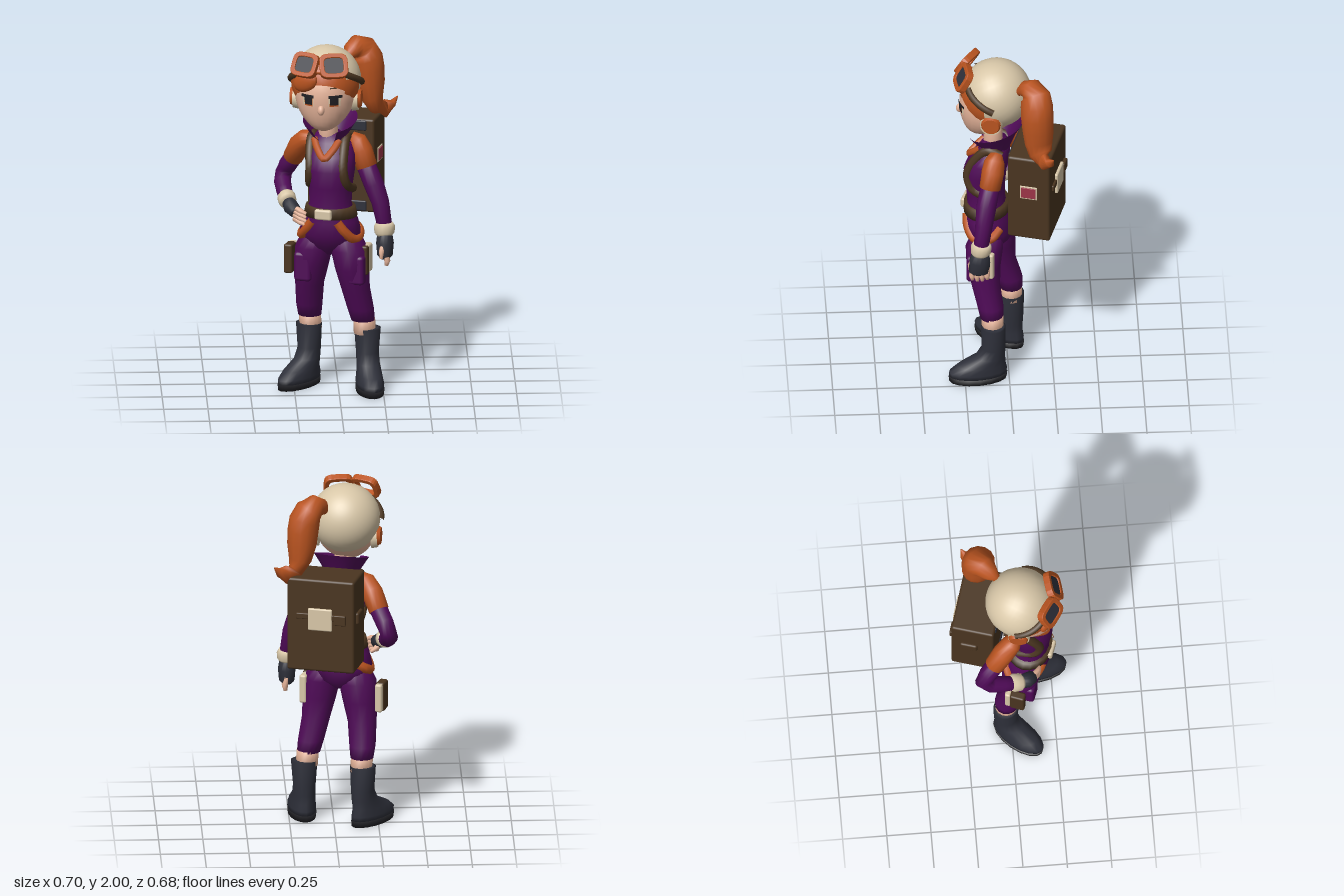
import * as THREE from 'three';
import { RoundedBoxGeometry } from 'three/addons/geometries/RoundedBoxGeometry.js';

const material = (name, color, side = THREE.FrontSide) => {
  const m = new THREE.MeshStandardMaterial({ color, side });
  m.name = name;
  return m;
};
const V = (x, y, z) => new THREE.Vector3(x, y, z);

// Surface through elliptical rings [x, y, z, a, b]; horizontal when a yaw is given, else square to the path
function loft(rings, yaw = null, n = 14) {
  const pos = [], idx = [], last = rings.length - 1;
  const c = rings.map(r => V(r[0], r[1], r[2]));
  rings.forEach((r, i) => {
    let t = V(0, 1, 0), u;
    if (yaw !== null) u = V(Math.cos(yaw), 0, -Math.sin(yaw));
    else {
      t = c[Math.min(i + 1, last)].clone().sub(c[Math.max(i - 1, 0)]).normalize();
      u = V(1, 0, 0).addScaledVector(t, -t.x).normalize();
    }
    const v = u.clone().cross(t);
    for (let j = 0; j < n; j++) {
      const a = j / n * Math.PI * 2;
      pos.push(...c[i].clone().addScaledVector(u, r[3] * Math.cos(a)).addScaledVector(v, (r[4] ?? r[3]) * Math.sin(a)).toArray());
    }
  });
  pos.push(...c[0].toArray(), ...c[last].toArray());
  const s = (last + 1) * n;
  for (let j = 0; j < n; j++) {
    const k = (j + 1) % n;
    for (let i = 0; i < last; i++) {
      const p = i * n, q = p + n;
      idx.push(p + j, q + j, p + k, p + k, q + j, q + k);
    }
    idx.push(s, j, k, s + 1, last * n + k, last * n + j);
  }
  const g = new THREE.BufferGeometry();
  g.setAttribute('position', new THREE.Float32BufferAttribute(pos, 3));
  g.setIndex(idx);
  g.computeVertexNormals();
  return g;
}

const tube = (pts, r) => new THREE.TubeGeometry(new THREE.CatmullRomCurve3(pts), 20, r, 8);

// Rounded rectangle outline
function roundedOutline(w, h, Type) {
  const pts = [];
  for (let i = 0; i < 20; i++) {
    const a = i / 20 * Math.PI * 2, f = t => Math.sign(t) * Math.sqrt(Math.abs(t));
    pts.push(new THREE.Vector2(f(Math.cos(a)) * w / 2, f(Math.sin(a)) * h / 2));
  }
  return new Type(pts);
}

// Torso cross-sections and a lookup on their surface
const TORSO_YAW = -0.35;
const TORSO = [
  [-.045, .79, .08, .04, .05], [-.045, .84, .085, .135, .105], [-.045, .92, .095, .18, .138],
  [-.045, 1.0, .11, .16, .125], [-.045, 1.1, .12, .12, .105], [-.045, 1.2, .125, .125, .11],
  [-.045, 1.3, .125, .14, .12], [-.045, 1.38, .1, .145, .115], [-.045, 1.45, .075, .125, .085],
  [-.05, 1.5, .065, .065, .06]];
function onTorso(y, angle, out = 0) {
  let i = 0;
  while (i < TORSO.length - 2 && TORSO[i + 1][1] < y) i++;
  const t = (y - TORSO[i][1]) / (TORSO[i + 1][1] - TORSO[i][1]);
  const r = TORSO[i].map((a, k) => a + (TORSO[i + 1][k] - a) * t);
  return V((r[3] + out) * Math.sin(angle), 0, (r[4] + out) * Math.cos(angle))
    .applyAxisAngle(V(0, 1, 0), TORSO_YAW).add(V(r[0], y, r[2]));
}

// Head shape with a tapered jaw; ranges give patches that lie on the face
function headSurface(scale = 1, ...range) {
  const g = new THREE.SphereGeometry(1, range.length ? 8 : 24, range.length ? 6 : 18, ...range);
  const p = g.attributes.position;
  for (let i = 0; i < p.count; i++) {
    const y = p.getY(i), t = y < 0 ? y * y : 0;
    p.setXYZ(i, p.getX(i) * .172 * scale * (1 - .15 * t), y * .207 * scale, p.getZ(i) * .18 * scale * (1 - .2 * t) + .075 * t);
  }
  g.computeVertexNormals();
  return g.translate(0, 1.738, .042);
}

export function createModel() {
  const purple = material('purple cloth', 0x4f0a57, THREE.DoubleSide);
  const orange = material('orange', 0xba5420);
  const cream = material('cream', 0xd8c7a8);
  const brown = material('brown leather', 0x4a3520);
  const slate = material('slate', 0x2e303a);
  const skin = material('skin', 0xe6b49a);
  const red = material('red patch', 0x9c3548);
  const dark = material('dark sole', 0x1f1f23);

  const model = new THREE.Group();
  const add = (parent, name, geo, mat, p = [0, 0, 0], r = [0, 0, 0]) => {
    const m = new THREE.Mesh(geo, mat);
    m.name = name;
    m.position.set(...p);
    m.rotation.set(...r);
    parent.add(m);
    return m;
  };
  const group = (name, p, yaw) => {
    const g = new THREE.Group();
    g.name = name;
    g.position.set(...p);
    g.rotation.y = yaw;
    model.add(g);
    return g;
  };
  const box = (w, h, d, r = .012) => new RoundedBoxGeometry(w, h, d, 2, r);

  // Torso, neck and collar
  add(model, 'torso', loft(TORSO, TORSO_YAW, 20), purple);
  add(model, 'neck', loft([[-.055, 1.44, .08, .058], [-.06, 1.62, .08, .05]], 0), skin);
  const collar = new THREE.CylinderGeometry(.155, .08, .12, 24, 2, true, .5, Math.PI * 2 - 1);
  const cp = collar.attributes.position;
  for (let i = 0; i < cp.count; i++) {
    if (cp.getY(i) > -.01) cp.setY(i, cp.getY(i) - .045 * cp.getZ(i) / .15);
  }
  collar.computeVertexNormals();
  add(model, 'collar', collar, purple, [-.045, 1.515, .068], [0, -.3, 0]);
  add(model, 'necklineTrim', tube([onTorso(1.465, -.75), onTorso(1.42, -.35), onTorso(1.375, 0), onTorso(1.42, .35), onTorso(1.465, .75)], .021), orange);

  // Belt, buckle, hip trims and pack straps
  add(model, 'belt', loft([[-.045, 1.025, .115, .155, .13], [-.045, 1.085, .118, .142, .125]], TORSO_YAW, 20), brown);
  add(model, 'buckle', box(.1, .06, .03), cream, [-.091, 1.055, .235], [0, TORSO_YAW, 0]);
  for (const s of [-1, 1]) {
    add(model, 'hipTrim', tube([onTorso(1.01, s * .5, -.01), onTorso(.95, s * .75, -.008), onTorso(.905, s * 1.1, -.005),
      onTorso(.9, s * 1.5, -.004), onTorso(.925, s * 2, -.008), onTorso(.965, s * 2.45, -.01)], .028), orange);
    add(model, 'packStrap', tube([onTorso(1.45, s * 2.4, .015), onTorso(1.475, s * 1.5, .005), onTorso(1.42, s * .9, -.006),
      onTorso(1.3, s * .85, -.01), onTorso(1.22, s * 1.15, -.008), onTorso(1.18, s * 2, .002)], .028), brown);
  }

  // Legs
  const legs = [
    { rings: [[.139, .4, .098, .067], [.125, .47, .105, .075], [.095, .6, .13, .082], [.075, .72, .14, .097], [.06, .83, .135, .106], [.035, .92, .115, .085]],
      calf: [.145, .093], boot: [.164, 0, .087], yaw: .12, pouch: [.155, .77, .14], depths: [.04, .075], pocket: [.1, .72, .19] },
    { rings: [[-.157, .4, -.025, .066], [-.16, .47, -.015, .075], [-.16, .6, .03, .082], [-.15, .72, .05, .1], [-.135, .83, .06, .108], [-.115, .92, .07, .085]],
      calf: [-.157, -.027], boot: [-.16, 0, -.03], yaw: -.72, pouch: [-.266, .75, .015], depths: [.085, .035], pocket: [-.195, .72, .1] }];
  for (const l of legs) {
    add(model, 'trouserLeg', loft(l.rings, TORSO_YAW), purple);
    add(model, 'thighPocket', box(.1, .17, .08, .02), purple, l.pocket, [0, TORSO_YAW, 0]);
    add(model, 'calf', loft([[l.calf[0] + .005, .32, l.calf[1], .063], [l.calf[0], .41, l.calf[1], .062]], 0), skin);
    const boot = group('boot', l.boot, l.yaw);
    add(boot, 'bootUpper', loft([[0, .03, .09, .076, .163], [0, .06, .09, .078, .166], [0, .1, .07, .072, .137], [0, .15, .02, .066, .085],
      [0, .21, 0, .065, .068], [0, .35, .003, .076, .07], [0, .352, .003, .06, .06]], 0, 16), slate);
    add(boot, 'sole', loft([[0, 0, .09, .077, .164], [0, .035, .09, .079, .168]], 0, 16), dark);
    const pouch = group('hipPouch', l.pouch, TORSO_YAW);
    const [front, back] = l.depths;
    add(pouch, 'pouchFront', box(.05, .17, front), brown, [0, 0, .058 - front / 2]);
    add(pouch, 'pouchBack', box(.042, .165, back), cream, [0, 0, -.058 + back / 2]);
  }

  // Arms: short orange sleeves over long purple ones
  add(model, 'leftSleeve', loft([[.07, 1.46, .07, .04], [.105, 1.44, .08, .058], [.13, 1.39, .09, .064], [.16, 1.3, .108, .06]]), orange);
  add(model, 'leftArm', loft([[.15, 1.32, .103, .054], [.2, 1.2, .13, .057], [.235, 1.1, .145, .05], [.26, .96, .163, .042]]), purple);
  add(model, 'leftCuff', loft([[.256, .985, .16, .05], [.257, .965, .162, .06], [.258, .93, .165, .057], [.259, .915, .165, .047]]), cream);
  add(model, 'leftGlove', loft([[.259, .94, .165, .04, .047], [.26, .87, .17, .05, .06], [.26, .8, .174, .044, .058], [.262, .785, .174, .03, .045]]), slate);
  add(model, 'rightSleeve', loft([[-.14, 1.455, .03, .04], [-.18, 1.435, 0, .057], [-.213, 1.39, -.045, .062], [-.25, 1.3, -.1, .057]]), orange);
  add(model, 'rightArm', loft([[-.24, 1.32, -.085, .052], [-.28, 1.24, -.14, .051], [-.3, 1.19, -.168, .047], [-.308, 1.15, -.125, .048], [-.3, 1.115, -.06, .046], [-.288, 1.09, .01, .04]]), purple);
  add(model, 'rightCuff', loft([[-.294, 1.1, -.01, .044], [-.29, 1.095, .005, .053], [-.284, 1.083, .04, .051], [-.28, 1.078, .052, .04]]), cream);
  add(model, 'rightGlove', loft([[-.283, 1.08, .04, .036], [-.268, 1.06, .08, .044], [-.242, 1.04, .115, .037]]), slate);
  for (let i = 0; i < 4; i++) {
    const z = .128 + i * .028, y = 1.065 - i * .022;
    add(model, 'leftFinger', loft([[.262, .83, z, .016], [.272, .775, z + .002, .017], [.268, .735 + Math.abs(i - 1.5) * .01, z, .01]], null, 8), skin);
    add(model, 'rightFinger', loft([[-.25, y, .11, .015], [-.215, y - .012, .145, .016], [-.185, y - .024, .16, .009]], null, 8), skin);
  }
  add(model, 'leftThumb', loft([[.25, .88, .2, .018], [.24, .83, .222, .016], [.238, .79, .222, .009]], null, 8), skin);
  add(model, 'rightThumb', loft([[-.26, 1.04, .07, .018], [-.235, 1.015, .06, .015], [-.21, 1.0, .05, .009]], null, 8), skin);

  // Head with hair and helmet
  const head = group('head', [-.065, 0, .05], -.18);
  add(head, 'face', headSurface(), skin);
  add(head, 'nose', new THREE.SphereGeometry(1, 12, 10).scale(.02, .03, .024), skin, [0, 1.677, .217], [-.35, 0, 0]);
  add(head, 'hair', new THREE.SphereGeometry(.187, 24, 14, 0, Math.PI * 2, 0, 2.1).rotateX(-.7), orange, [0, 1.79, .03]);
  add(head, 'fringe', new THREE.SphereGeometry(1, 14, 10).scale(.085, .055, .03), orange, [-.095, 1.83, .182], [0, -.45, .45]);
  add(head, 'helmet', new THREE.SphereGeometry(.197, 28, 16, 0, Math.PI * 2, 0, 2.1).rotateX(-1), cream, [0, 1.802, .01]);
  for (const s of [-1, 1]) {
    // Eyes and brows lie on the face; azimuth is measured from +z
    const patch = (name, mat, az, w, y, h, k) =>
      add(head, name, headSurface(k, Math.PI / 2 + s * az - w / 2, w, Math.PI / 2 - y - h / 2, h), mat);
    patch('eyeWhite', cream, .46, .42, -.06, .26, 1.008);
    patch('iris', orange, .44, .3, -.08, .22, 1.014);
    patch('pupil', dark, .44, .28, -.03, .24, 1.02);
    patch('lashes', dark, .48, .48, .08, .08, 1.024);
    patch('brow', brown, .46, .3, .32, .035, 1.02);
    add(head, 'sideHair', new THREE.SphereGeometry(.1995, 10, 8, Math.PI / 2 + s * 1.02 - .32, .64, 1.36, .78), orange, [0, 1.802, .01]);
    add(head, 'earCushion', new THREE.CylinderGeometry(.06, .067, .035, 16), cream, [s * .168, 1.693, .02], [0, 0, -s * Math.PI / 2]);
    add(head, 'earCup', new THREE.CylinderGeometry(.048, .058, .02, 16), orange, [s * .192, 1.7, .018], [0, 0, -s * Math.PI / 2]);

    // Goggles
    const goggle = new THREE.Group();
    goggle.name = 'goggle';
    goggle.position.set(s * .076 - .012, 1.925, .18);
    goggle.rotation.set(-.52, s * .36 - .06, 0, 'YXZ');
    head.add(goggle);
    const rim = roundedOutline(.155, .135, THREE.Shape);
    rim.holes.push(roundedOutline(.118, .098, THREE.Path));
    add(goggle, 'goggleFrame', new THREE.ExtrudeGeometry(rim, { depth: .03, bevelEnabled: true, bevelSize: .004, bevelThickness: .005, bevelSegments: 2 }), orange, [0, 0, -.002]);
    add(goggle, 'lens', new THREE.ShapeGeometry(roundedOutline(.125, .105, THREE.Shape)), slate, [0, 0, .026]);
    const strap = [];
    for (let i = 0; i <= 6; i++) {
      const a = .65 + i * .16, y = 1.885 - i * .015, r = Math.sqrt(.2 ** 2 - (y - 1.8) ** 2);
      strap.push(V(s * r * Math.sin(a), y, r * Math.cos(a) + .012));
    }
    add(head, 'goggleStrap', tube(strap, .02), brown);
  }
  add(head, 'goggleBridge', box(.05, .06, .035), orange, [-.012, 1.915, .207], [-.5, 0, 0]);

  // Ponytail
  add(model, 'ponytail', loft([[.035, 1.86, -.04, .018], [.06, 1.895, -.07, .026], [.08, 1.92, -.098, .05], [.11, 1.937, -.13, .066], [.148, 1.915, -.15, .08, .085], [.172, 1.865, -.156, .088, .093],
    [.182, 1.8, -.158, .088, .094], [.188, 1.72, -.162, .083, .09], [.198, 1.635, -.165, .066, .08], [.225, 1.572, -.175, .045, .066],
    [.275, 1.552, -.195, .035, .054], [.318, 1.575, -.222, .021, .03], [.345, 1.61, -.242, .004]]), orange);

  // Backpack
  const pack = group('backpack', [.053, 1.272, -.161], -.29);
  add(pack, 'packBody', box(.39, .545, .245, .014), brown);
  for (const y of [-.235, .235]) add(pack, 'packPad', box(.3, .06, .02, .008), slate, [0, y, .119]);
  add(pack, 'backBand', box(.28, .035, .02, .006), brown, [0, .055, -.125]);
  add(pack, 'backBuckle', box(.07, .06, .035, .006), brown, [-.115, .045, -.125]);
  add(pack, 'backPlate', box(.14, .13, .02, .008), cream, [0, .04, -.13]);
  add(pack, 'sidePatchFrame', box(.008, .085, .1, .003), cream, [.195, .045, 0]);
  add(pack, 'sidePatch', box(.008, .068, .085, .003), red, [.199, .045, 0]);
  add(pack, 'sidePocket', box(.03, .07, .1), brown, [-.195, .04, -.02]);
  return model;
}
